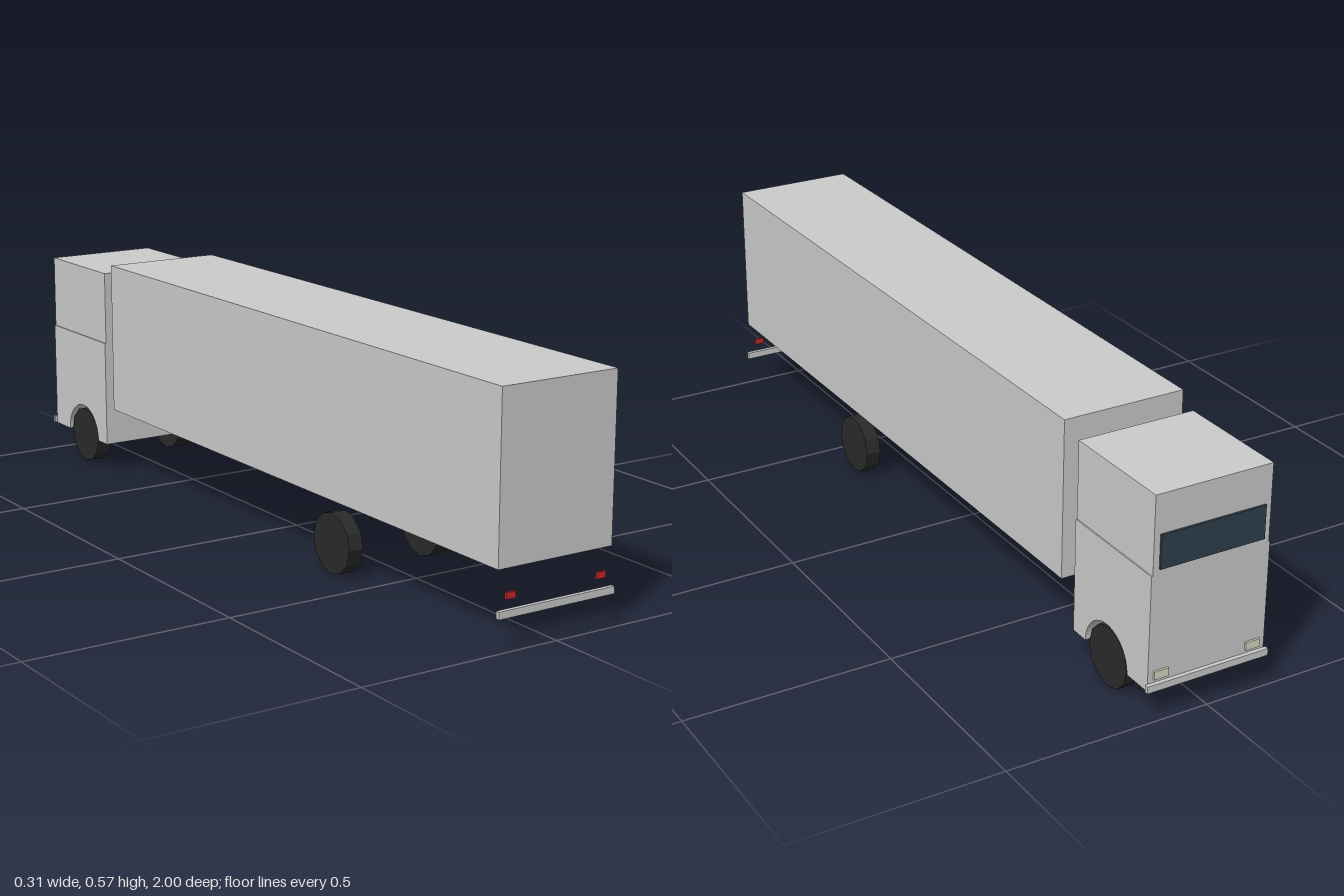
import * as THREE from 'three';

export function createModel() {
  const group = new THREE.Group();
  group.name = 'truck';

  const paint = (color) => new THREE.MeshStandardMaterial({ color, flatShading: true });
  const grey = paint(0xcccccc);
  const rubber = paint(0x2a2a2a);
  const glass = paint(0x2f3f4c);
  const red = paint(0xc62828);
  const lamp = paint(0xd8d8c4);

  const add = (name, geometry, material) => {
    const mesh = new THREE.Mesh(geometry, material);
    mesh.name = name;
    group.add(mesh);
    return mesh;
  };
  // Box given by its minimum and maximum corners
  const box = (name, [x0, y0, z0], [x1, y1, z1], material = grey) =>
    add(name, new THREE.BoxGeometry(x1 - x0, y1 - y0, z1 - z0), material)
      .position.set((x0 + x1) / 2, (y0 + y1) / 2, (z0 + z1) / 2);

  const wheelR = 0.0735;
  const frontAxle = -0.831;
  const rearAxle = 0.367;

  // Cargo body
  box('cargoBox', [-0.153, 0.18, -0.652], [0.153, 0.567, 0.99]);

  // Lower cab: side profile with wheel arches, extruded across the width
  const cabBack = -0.70, cabFront = -0.99, floor = 0.0735, waist = 0.35;
  const halfWidth = 0.15, archR = 0.082;
  const profile = new THREE.Shape();
  profile.moveTo(-cabBack, floor);
  profile.lineTo(-cabBack, waist);
  profile.lineTo(-cabFront, waist);
  profile.lineTo(-cabFront, floor);
  profile.lineTo(-frontAxle + archR, floor);
  profile.absarc(-frontAxle, floor, archR, 0, Math.PI, false);
  profile.closePath();
  const lower = new THREE.ExtrudeGeometry(profile, {
    depth: halfWidth * 2, bevelEnabled: false, curveSegments: 12,
  });
  lower.rotateY(Math.PI / 2); // profile x runs towards -z
  lower.translate(-halfWidth, 0, 0);
  add('lowerCab', lower, grey);

  // Upper cab, slightly narrower than the lower part
  box('upperCab', [-0.147, waist, cabFront], [0.147, 0.538, cabBack]);
  box('windshield', [-0.132, 0.364, -0.995], [0.132, 0.445, cabFront], glass);

  // Bumpers at both ends
  box('frontBumper', [-0.156, 0.075, -1], [0.156, 0.092, cabFront]);
  box('rearBumper', [-0.156, 0.075, 0.99], [0.156, 0.092, 1]);

  // Lamps and wheels, mirrored left and right
  for (const [side, s] of [['left', 1], ['right', -1]]) {
    const cx = s * 0.118, tx = s * 0.122;
    box(`${side}Headlight`, [cx - 0.018, 0.1, -0.995], [cx + 0.018, 0.12, cabFront], lamp);
    box(`${side}TailLight`, [tx - 0.0125, 0.114, 0.99], [tx + 0.0125, 0.129, 0.996], red);
    for (const [end, z] of [['Front', frontAxle], ['Rear', rearAxle]]) {
      const tyre = new THREE.CylinderGeometry(wheelR, wheelR, 0.038, 12);
      tyre.rotateZ(Math.PI / 2);
      add(`${side}${end}Wheel`, tyre, rubber).position.set(s * 0.126, wheelR, z);
    }
  }
  return group;
}
